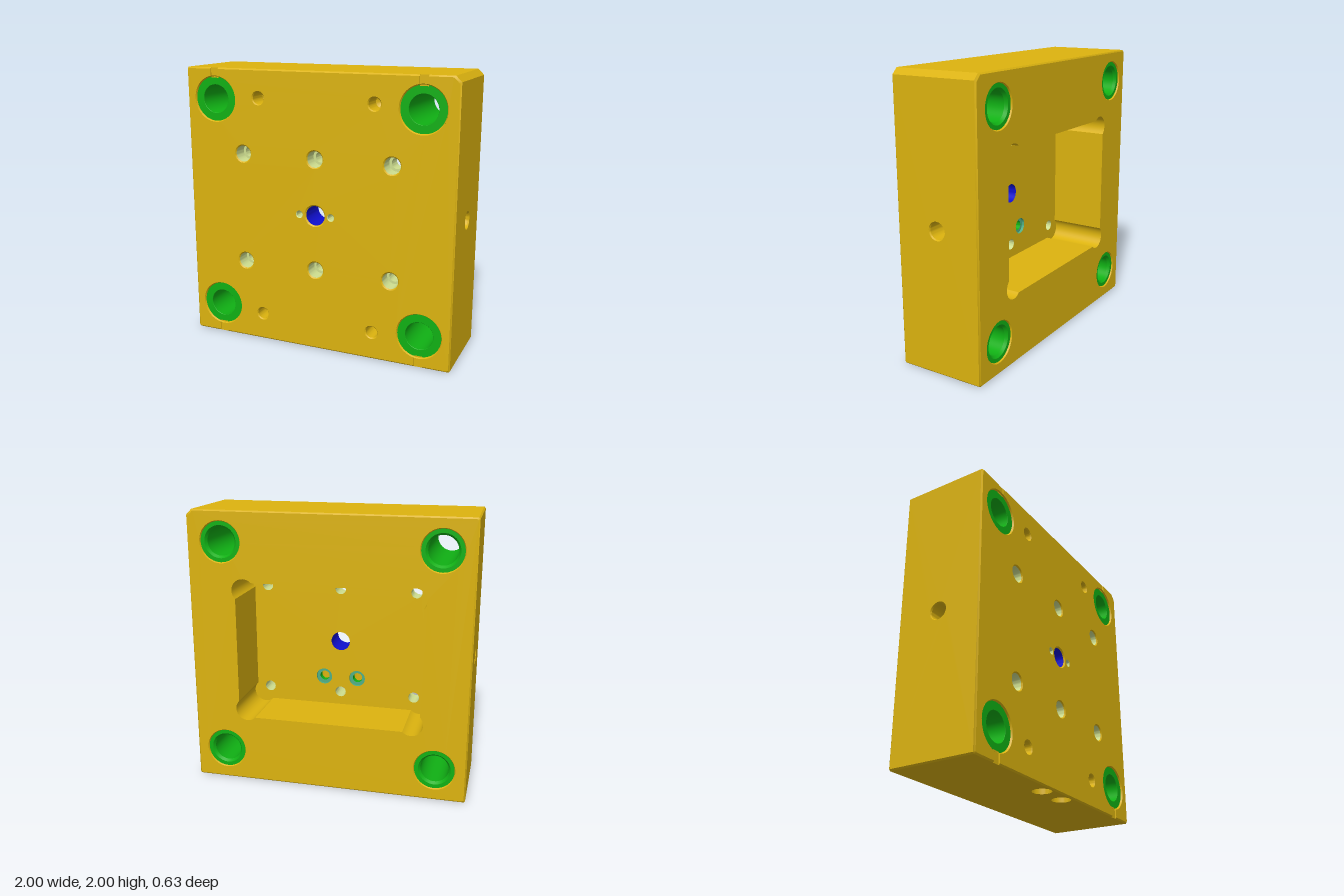
import * as THREE from 'three';
import { toCreasedNormals } from 'three/addons/utils/BufferGeometryUtils.js';

const V2 = (x, y) => new THREE.Vector2(x, y);
const V3 = (x, y, z) => new THREE.Vector3(x, y, z);
const paint = (color) => new THREE.MeshStandardMaterial({ color, side: THREE.DoubleSide });

const H = 0.317;       // half thickness
const C = 0.01;        // edge chamfer
const FLOOR = 0.1;     // z of the pocket floor
const SLOT = 0.03;     // half width of the pry slots
const BORE = 0.164;    // guide bore radius at the front
const BACK_BORE = 0.149;

export function createModel() {
  const group = new THREE.Group();
  const plate = new THREE.Group();
  plate.name = 'mouldPlate';
  plate.position.y = 1;   // built around its own centre
  group.add(plate);

  const gold = paint(0xdcb30f), green = paint(0x10b014), blue = paint(0x1010d0);
  const pale = paint(0xcfdf90), teal = paint(0x4fae86);

  function add(name, geometry, material = gold) {
    const mesh = new THREE.Mesh(geometry, material);
    mesh.name = name;
    plate.add(mesh);
    return mesh;
  }
  // Triangles from a list of four-cornered faces
  function quads(list) {
    const pos = [];
    for (const [a, b, c, d] of list)
      for (const p of [a, b, c, a, c, d]) pos.push(p.x, p.y, p.z);
    const g = new THREE.BufferGeometry();
    g.setAttribute('position', new THREE.Float32BufferAttribute(pos, 3));
    return toCreasedNormals(g, 0.6);
  }
  const circle = (x, y, r) => new THREE.Path().absarc(x, y, r, 0, Math.PI * 2, true);
  // Flat face lying across z, with round holes [x, y, r]
  function face(name, shape, holes, z, back = false) {
    for (const h of holes) shape.holes.push(circle(...h));
    const g = new THREE.ShapeGeometry(shape, 24);
    if (back) g.rotateY(Math.PI);
    add(name, g).position.z = z;
  }
  // Turned surface: profile of [radius, depth] going in from a point on a face
  function turned(name, profile, at, out, material = gold) {
    const g = new THREE.LatheGeometry(profile.map(([r, d]) => V2(r, -d)), 48);
    const mesh = add(name, toCreasedNormals(g.toNonIndexed(), 0.5), material);
    mesh.position.copy(at);
    mesh.quaternion.setFromUnitVectors(V3(0, 1, 0), out);
  }
  const front = V3(0, 0, 1), back = V3(0, 0, -1);

  // Feature positions, relative to the plate centre
  const guides = [[-0.775, -0.77], [0.775, -0.77], [0.76, 0.78], [-0.775, 0.78]];
  const screws = [-0.56, 0, 0.56].flatMap((x) => [[x, -0.4], [x, 0.4]]);
  const tapped = [-0.43, 0.43].flatMap((x) => [[x, -0.8], [x, 0.8]]);
  const pins = [[-0.12, 0], [0.12, 0]];
  const ports = [[-0.127, -0.286], [0.127, -0.286]];

  // Outline with one larger chamfer marking the datum corner
  const K = 0.04;
  const outline = [V2(-1 + C, -1), V2(1 - C, -1), V2(1, -1 + C), V2(1, 1 - K),
    V2(1 - K, 1), V2(-1 + C, 1), V2(-1, 1 - C), V2(-1, -1 + C)];
  const inset = outline.map((p) => p.clone().multiplyScalar(1 - C));

  // Front outline runs in through each slot and around its guide bore
  function keyhole([cx, cy]) {
    const s = Math.sign(cy), d = Math.asin(SLOT / BORE), pts = [];
    const edge = s * (1 - C);
    pts.push(V2(cx + s * SLOT, edge));
    for (let i = 0; i <= 48; i++) {
      const a = s * Math.PI / 2 - d - (2 * Math.PI - 2 * d) * i / 48;
      pts.push(V2(cx + BORE * Math.cos(a), cy + BORE * Math.sin(a)));
    }
    pts.push(V2(cx - s * SLOT, edge));
    return pts;
  }
  const contour = [inset[0], ...keyhole(guides[0]), ...keyhole(guides[1]), ...inset.slice(1, 5),
    ...keyhole(guides[2]), ...keyhole(guides[3]), ...inset.slice(5)];
  face('frontFace', new THREE.Shape(contour), [
    ...screws.map(([x, y]) => [x, y, 0.066]), ...tapped.map(([x, y]) => [x, y, 0.05]),
    ...pins.map(([x, y]) => [x, y, 0.027]), [0, 0, 0.08]], H);

  // Pocket outline with relieved round corners
  const pocket = [];
  for (const [sx, sy, a0] of [[1, 1, 0], [-1, 1, 1], [-1, -1, 2], [1, -1, 3]]) {
    for (let i = 0; i <= 20; i++) {
      const a = (a0 + 0.5) * Math.PI / 2 + (i / 20 - 0.5) * Math.PI;
      pocket.push(V2(sx * 0.602 + 0.085 * Math.cos(a), sy * 0.442 + 0.085 * Math.sin(a)));
    }
  }
  const at = (p, z) => V3(p.x, p.y, z);
  add('pocketWalls', quads(pocket.map((p, i) => {
    const q = pocket[(i + 1) % pocket.length];
    return [at(q, -H), at(p, -H), at(p, FLOOR), at(q, FLOOR)];
  })));
  face('pocketFloor', new THREE.Shape(pocket.map((p) => V2(-p.x, p.y))), [
    ...screws.map(([x, y]) => [-x, y, 0.04]), ...ports.map(([x, y]) => [-x, y, 0.06]),
    [0, 0, 0.07]], FLOOR, true);

  const backShape = new THREE.Shape(inset.map((p) => V2(-p.x, p.y)).reverse());
  backShape.holes.push(new THREE.Path(pocket.map((p) => V2(-p.x, p.y))));
  face('backFace', backShape, guides.map(([x, y]) => [-x, y, BACK_BORE]), -H, true);

  // Outer walls with the cooling holes, one panel per outline edge
  const sideR = 0.064, channelR = 0.068, channelZ = 0.232;
  const wallHoles = {
    0: ports.map(([x]) => [V3(x, -1, channelZ), channelR]),
    2: [[V3(1, 0, 0), sideR]],
    6: [[V3(-1, 0, 0), sideR]],
  };
  const bevels = [];
  outline.forEach((a, i) => {
    const j = (i + 1) % outline.length, b = outline[j];
    const t = at(b.clone().sub(a).normalize(), 0), n = V3(t.y, -t.x, 0);
    const mid = at(a.clone().add(b).multiplyScalar(0.5), 0);
    const l = a.distanceTo(b) / 2, h = H - C;
    const panel = new THREE.Shape([V2(-l, -h), V2(l, -h), V2(l, h), V2(-l, h)]);
    for (const [p, r] of wallHoles[i] || [])
      panel.holes.push(circle(p.clone().sub(mid).dot(t), p.z, r));
    const g = new THREE.ShapeGeometry(panel, 24);
    g.applyMatrix4(new THREE.Matrix4().makeBasis(t, front, n).setPosition(mid));
    add('outerWall', g);

    // Bevels, broken at the front where a slot runs out
    bevels.push([at(inset[j], -H), at(b, -h), at(a, -h), at(inset[i], -H)].reverse());
    const cuts = i === 0 ? [guides[0], guides[1]] : i === 4 ? [guides[2], guides[3]] : [];
    let o = a, m = inset[i];
    for (const [x] of cuts) {
      const s = Math.sign(t.x), x0 = x - s * SLOT, x1 = x + s * SLOT;
      bevels.push([at(o, h), V3(x0, a.y, h), V3(x0, m.y, H), at(m, H)]);
      o = V2(x1, a.y);
      m = V2(x1, m.y);
    }
    bevels.push([at(o, h), at(b, h), at(inset[j], H), at(m, H)]);
  });
  add('edgeBevels', quads(bevels));

  // Guide bushings, their bore chamfers and the pry slots
  for (const [x, y] of guides) {
    turned('boreChamfer', [[BORE, 0], [0.157, C + 0.002]], V3(x, y, H), front);
    turned('backBoreChamfer', [[BACK_BORE, 0], [0.143, C]], V3(x, y, -H), back);
    turned('guideBushing', [[0.102, 0.012], [0.157, 0.012], [0.157, 0.08], [0.143, 0.08],
      [0.143, 2 * H - C], [0.115, 2 * H - C], [0.1, 2 * H - 0.03], [0.1, 0.014], [0.102, 0.012]],
      V3(x, y, H), front, green);
    const s = Math.sign(y), z = H - C, y0 = y + s * 0.148;
    const faces = [[V3(x - SLOT, y0, z), V3(x + SLOT, y0, z), V3(x + SLOT, s, z), V3(x - SLOT, s, z)]];
    const yArc = y + s * Math.sqrt(BORE * BORE - SLOT * SLOT);
    for (const e of [x - SLOT, x + SLOT])
      faces.push([V3(e, yArc, z), V3(e, s, z), V3(e, s * (1 - C), H), V3(e, yArc, H)]);
    add('prySlot', quads(faces));
  }

  // Counterbored screw holes through to the pocket
  for (const [x, y] of screws) {
    turned('screwHoleChamfer', [[0.066, 0], [0.058, 0.008]], V3(x, y, H), front);
    turned('screwHole', [[0.058, 0.008], [0.058, 0.11], [0.04, 0.11], [0.04, H - FLOOR]],
      V3(x, y, H), front, pale);
  }
  // Blind holes in the front
  for (const [x, y] of tapped)
    turned('tappedHole', [[0.05, 0], [0.043, 0.008], [0.043, 0.15], [0, 0.175]], V3(x, y, H), front);
  for (const [x, y] of pins)
    turned('pinHole', [[0.027, 0], [0.022, 0.005], [0.022, 0.1], [0, 0.11]], V3(x, y, H), front, pale);

  // Central sprue bore
  turned('sprueChamfer', [[0.08, 0], [0.07, C]], V3(0, 0, H), front);
  turned('sprueBore', [[0.07, C], [0.07, H - FLOOR]], V3(0, 0, H), front, blue);

  // Side holes, cooling channels and their ports in the pocket floor
  for (const s of [-1, 1])
    turned('sideHole', [[sideR, 0], [0.058, 0.01], [0.058, 0.22], [0, 0.25]], V3(s, 0, 0), V3(s, 0, 0));
  for (const [x, y] of ports) {
    turned('coolingChannel', [[channelR, 0], [channelR, 0.76], [0, 0.79]],
      V3(x, -1, channelZ), V3(0, -1, 0));
    turned('portSeat', [[0.06, 0], [0.06, 0.02], [0.036, 0.02]], V3(x, y, FLOOR), back, teal);
    turned('portBore', [[0.036, 0.02], [0.036, 0.12], [0, 0.12]], V3(x, y, FLOOR), back, green);
  }
  return group;
}
